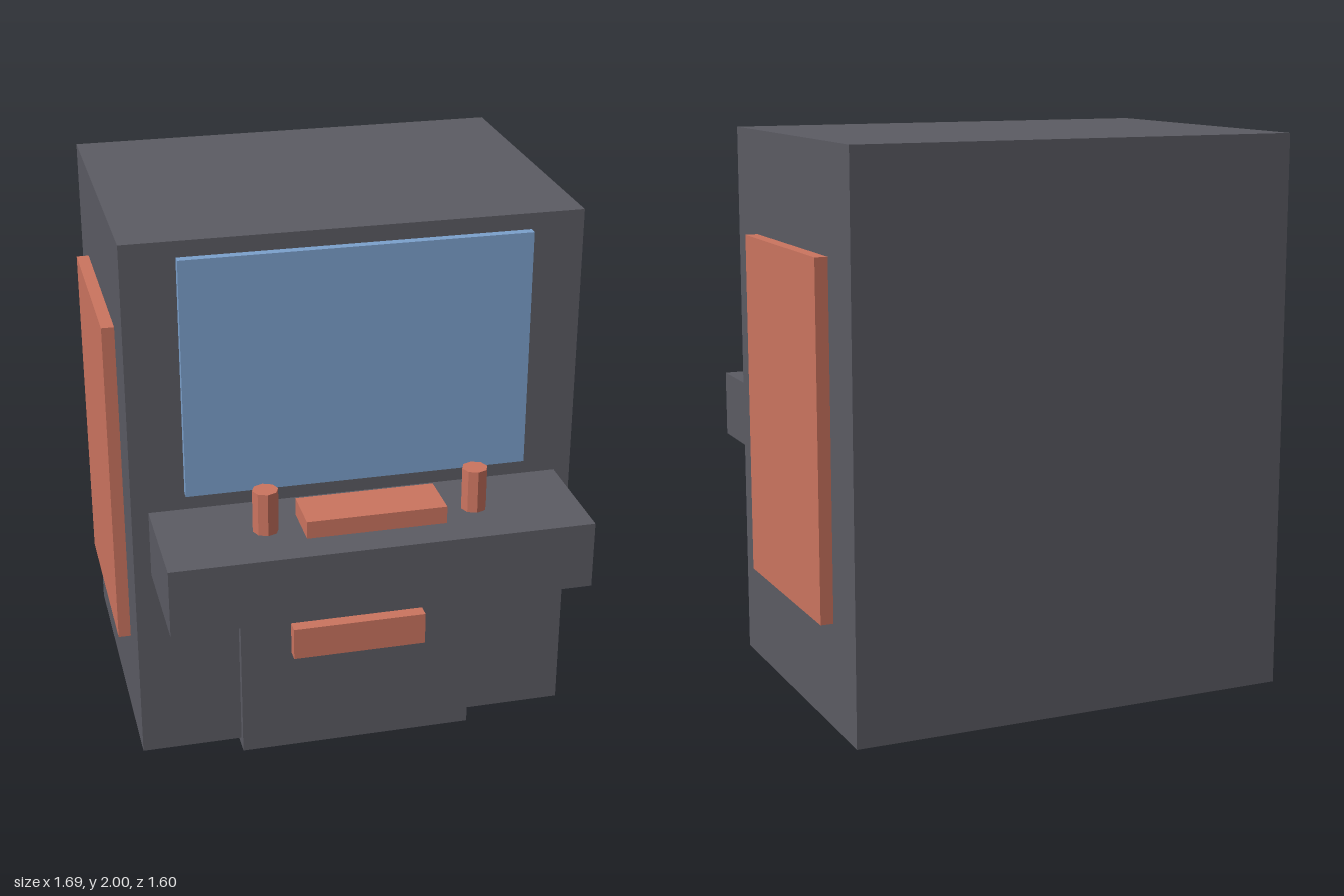
import * as THREE from 'three';

export function createModel() {
  const model = new THREE.Group();
  const mat = (name, color) => {
    const m = new THREE.MeshStandardMaterial({ color, flatShading: true });
    m.name = name;
    return m;
  };
  const grey = mat('dark grey', 0x5b5b63);
  const orange = mat('coral', 0xcb745f);
  const blue = mat('screen blue', 0x7ba0cc);

  const add = (name, geometry, material, x, y, z) => {
    const mesh = new THREE.Mesh(geometry, material);
    mesh.name = name;
    mesh.position.set(x, y, z);
    model.add(mesh);
  };
  // Box given by its extents on each axis
  const box = (name, material, [x0, x1], [y0, y1], [z0, z1]) =>
    add(name, new THREE.BoxGeometry(x1 - x0, y1 - y0, z1 - z0), material,
      (x0 + x1) / 2, (y0 + y1) / 2, (z0 + z1) / 2);

  // Cabinet with screen, control shelf and lower door
  box('cabinet', grey, [-0.8, 0.8], [0.035, 2], [-0.8, 0.368]);
  box('screen', blue, [-0.612, 0.612], [1.08, 1.943], [0.3, 0.4]);
  box('controlShelf', grey, [-0.74, 0.74], [0.773, 1.017], [0.3, 0.8]);
  box('lowerDoor', grey, [-0.432, 0.432], [0, 0.678], [0.282, 0.402]);

  // Raised pad on the shelf and slot plate on the door
  box('controlPad', orange, [-0.246, 0.246], [1.01, 1.08], [0.495, 0.677]);
  box('slotPlate', orange, [-0.246, 0.246], [0.402, 0.524], [0.39, 0.451]);

  // Mirrored side panels and control knobs
  for (const [side, s] of [['left', 1], ['right', -1]]) {
    const xs = [s * 0.79, s * 0.845].sort((a, b) => a - b);
    box(side + 'SidePanel', orange, xs, [0.402, 1.631], [-0.585, 0.152]);
    add(side + 'Knob', new THREE.CylinderGeometry(0.045, 0.045, 0.162, 8), orange,
      s * 0.369, 1.091, 0.584);
  }
  return model;
}
